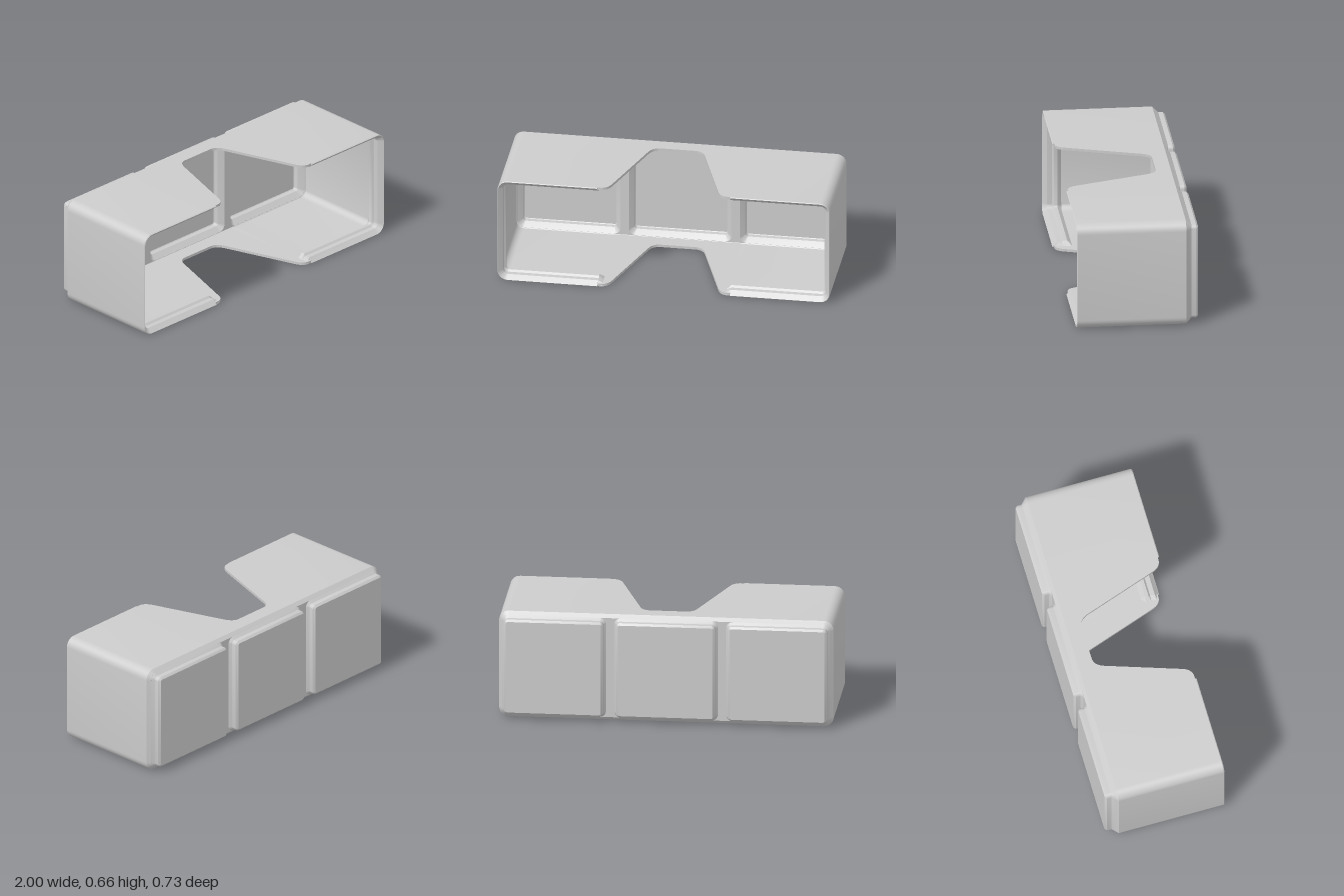
import * as THREE from 'three';
import { toCreasedNormals } from 'three/addons/utils/BufferGeometryUtils.js';

const HX = 1, HY = 0.3306, R = 0.06;   // body half width, half height, corner radius
const T = 0.016;                       // wall thickness
const PITCH = 0.669;                   // distance between cells
const Z_BASE = -0.29;                  // where the walls meet the base

const material = new THREE.MeshStandardMaterial({ color: 0xcccccc, side: THREE.DoubleSide });

// Arc points around one rounded corner
function corner(cx, cy, r, start, z, n = 8) {
  return Array.from({ length: n + 1 }, (_, i) => {
    const a = start + (i / n) * Math.PI / 2;
    return new THREE.Vector3(cx + r * Math.cos(a), cy + r * Math.sin(a), z);
  });
}

// Closed, counterclockwise rounded rectangle at height z
function roundedLoop(cx, hx, hy, r, z) {
  const pts = [[1, 1], [-1, 1], [-1, -1], [1, -1]].flatMap(([sx, sy], i) =>
    corner(cx + sx * (hx - r), sy * (hy - r), r, i * Math.PI / 2, z));
  return [...pts, pts[0].clone()];
}

// Skin a list of rings of equal length
function loft(rings) {
  const n = rings[0].length, index = [];
  const pts = rings.flat();
  const tri = (a, b, c) => {
    const [p, q, s] = [pts[a], pts[b], pts[c]];
    const area = q.clone().sub(p).cross(s.clone().sub(p)).length();
    if (area > 1e-9) index.push(a, b, c);
  };
  for (let i = 0; i < rings.length - 1; i++) {
    for (let j = 0; j < n - 1; j++) {
      const a = i * n + j, d = a + n;
      tri(a, a + 1, d + 1);
      tri(a, d + 1, d);
    }
  }
  const g = new THREE.BufferGeometry().setFromPoints(pts);
  g.setIndex(index);
  return toCreasedNormals(g, 0.5);
}

// End wall with rounded corners and the stepped rim, swept around a C-shaped path
function endWallGeometry() {
  const profile = [ // inset, z
    [0, Z_BASE], [0, 0.36], [0.004, 0.365], [0.03, 0.337], [0.03, 0.308], [0.041, 0.297],
    [0.041, 0.276], [T, 0.25], [T, -0.284], [0.021, -0.288],
  ];
  const rings = profile.map(([d, z]) => {
    const low = Math.min(z, 0.355), thin = Math.min(d, T);
    // the rim tapers away where it reaches the cutout
    const tail = s => [
      new THREE.Vector3(0.37, s * (HY - thin), low),
      new THREE.Vector3(0.398, s * (HY - d), low),
      new THREE.Vector3(0.4, s * (HY - d), z),
    ];
    return [
      ...tail(-1),
      ...corner(HX - R, R - HY, R - d, -Math.PI / 2, z),
      ...corner(HX - R, HY - R, R - d, 0, z),
      ...tail(1).reverse(),
    ];
  });
  return loft(rings);
}

// Middle wall with the tapered, rounded cutout (shape y is -z)
function cutoutWallGeometry() {
  const s = new THREE.Shape();
  s.moveTo(-0.4, -Z_BASE);
  s.lineTo(-0.4, -0.355);
  s.lineTo(-0.385, -0.355);
  s.quadraticCurveTo(-0.338, -0.355, -0.32, -0.3);
  s.lineTo(-0.172, 0.14);
  s.quadraticCurveTo(-0.152, 0.2, -0.105, 0.2);
  s.lineTo(0.105, 0.2);
  s.quadraticCurveTo(0.152, 0.2, 0.172, 0.14);
  s.lineTo(0.32, -0.3);
  s.quadraticCurveTo(0.338, -0.355, 0.385, -0.355);
  s.lineTo(0.4, -0.355);
  s.lineTo(0.4, -Z_BASE);
  const g = new THREE.ExtrudeGeometry(s, { depth: T, bevelEnabled: false, curveSegments: 10 });
  return toCreasedNormals(g.rotateX(-Math.PI / 2), 0.5);
}

// Hollow foot: outside from the sole upward, then down the inside to the floor
function footGeometry(cx) {
  const steps = [ // half size, corner radius, z
    [0, 0, -0.365], [0.284, 0.013, -0.365], [0.296, 0.025, -0.353], [0.296, 0.025, -0.325],
    [0.3106, 0.04, -0.31], [0.31, 0.04, -0.288], [0.28, 0.016, -0.318], [0.28, 0.016, -0.345],
    [0.276, 0.012, -0.349], [0, 0, -0.349],
  ];
  return loft(steps.map(([h, r, z]) => roundedLoop(cx, h, h, r, z)));
}

// Plate joining the feet, open over each cell
function basePlateGeometry() {
  const flat = (...args) => roundedLoop(...args, 0).slice(0, -1).map(p => new THREE.Vector2(p.x, p.y));
  const shape = new THREE.Shape(flat(0, HX - 0.02, HY - 0.02, 0.04));
  for (const i of [-1, 0, 1]) {
    shape.holes.push(new THREE.Path(flat(i * PITCH, 0.309, 0.309, 0.04).reverse()));
  }
  const g = new THREE.ExtrudeGeometry(shape, { depth: 0.022, bevelEnabled: false });
  return g.translate(0, 0, -0.31);
}

export function createModel() {
  const model = new THREE.Group();
  model.name = 'openBin';
  const body = new THREE.Group();
  body.name = 'body';
  body.position.y = HY;
  model.add(body);

  const add = (name, geometry) => {
    const mesh = new THREE.Mesh(geometry, material);
    mesh.name = name;
    body.add(mesh);
    return mesh;
  };

  // Walls
  const wall = endWallGeometry();
  add('leftWall', wall);
  add('rightWall', wall).rotation.z = Math.PI;
  const cutout = cutoutWallGeometry();
  add('upperCutoutWall', cutout).position.y = HY - T;
  add('lowerCutoutWall', cutout).position.y = -HY;

  // Base
  add('baseChamfer', loft([
    roundedLoop(0, HX - 0.02, HY - 0.02, R - 0.02, -0.31),
    roundedLoop(0, HX, HY, R, Z_BASE),
  ]));
  add('basePlate', basePlateGeometry());
  ['rightFoot', 'middleFoot', 'leftFoot'].forEach((name, i) =>
    add(name, footGeometry((i - 1) * PITCH)));

  return model;
}
